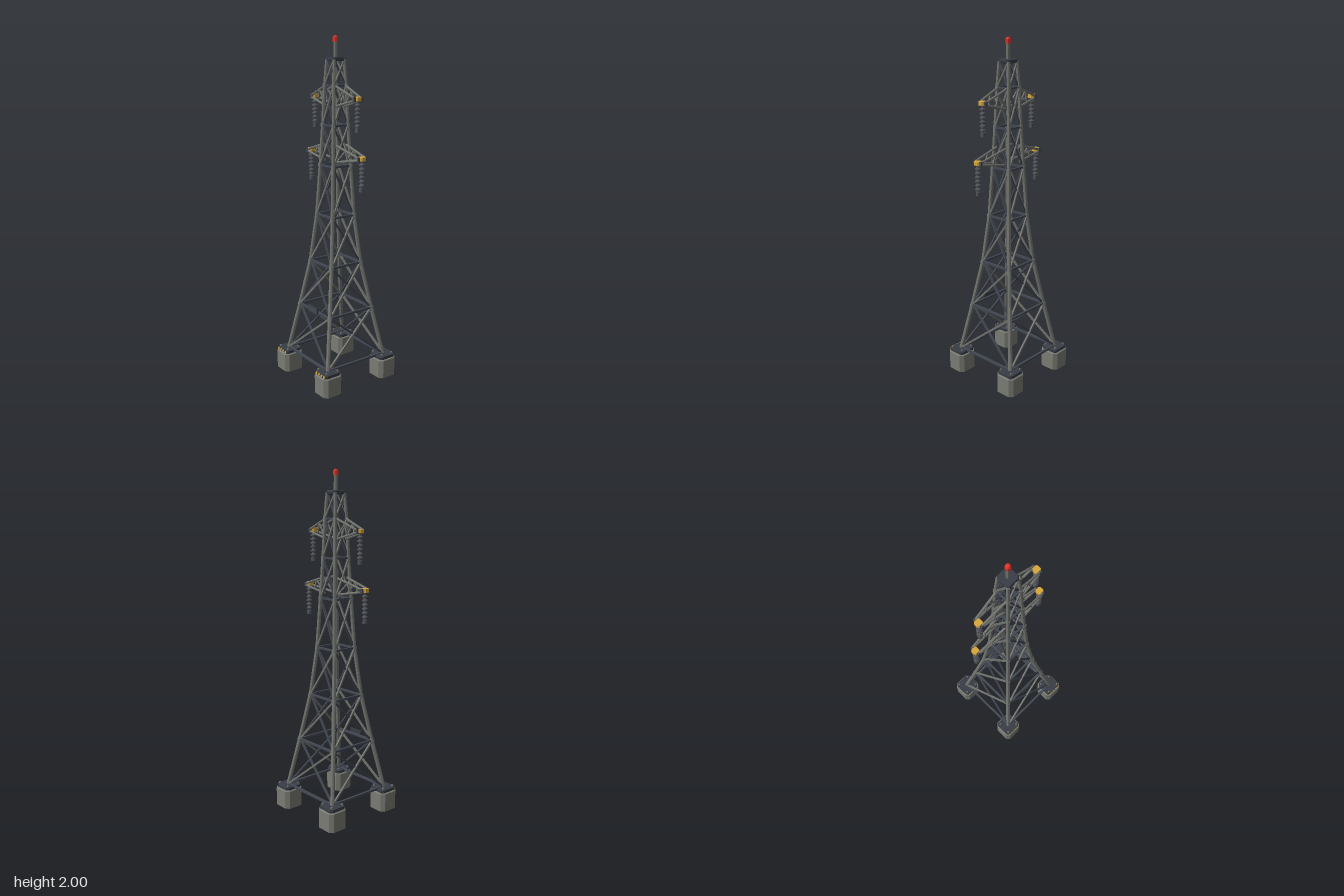
import * as THREE from 'three';

const mat = (name, color) => {
  const m = new THREE.MeshStandardMaterial({ color, flatShading: true });
  m.name = name;
  return m;
};

export function createModel() {
  const steel = mat('galvanised steel', 0x72746f);
  const brace = mat('brace steel', 0x434954);
  const dark = mat('dark plate', 0x383d46);
  const concrete = mat('concrete', 0x7b7c74);
  const ceramic = mat('insulator grey', 0x505358);
  const yellow = mat('safety yellow', 0xdaa83a);
  const red = mat('beacon red', 0xe8332a);

  const root = new THREE.Group();
  root.name = 'transmissionTower';
  const V = (x, y, z) => new THREE.Vector3(x, y, z);

  const group = (name, parent = root) => {
    const g = new THREE.Group();
    g.name = name;
    parent.add(g);
    return g;
  };
  const add = (parent, name, geo, material, x = 0, y = 0, z = 0) => {
    const m = new THREE.Mesh(geo, material);
    m.name = name;
    m.position.set(x, y, z);
    parent.add(m);
    return m;
  };
  // Any geometry lying along z, placed between two points
  const span = (parent, name, geo, a, b, material) => {
    const mid = a.clone().add(b).multiplyScalar(0.5);
    add(parent, name, geo, material, mid.x, mid.y, mid.z).lookAt(b);
  };
  const beam = (parent, name, a, b, w, material) =>
    span(parent, name, new THREE.BoxGeometry(w, w, a.distanceTo(b)), a, b, material);
  const tube = (parent, name, a, b, r, material) =>
    span(parent, name, new THREE.CylinderGeometry(r, r, a.distanceTo(b), 8).rotateX(Math.PI / 2), a, b, material);
  const shape = pts => new THREE.Shape(pts.map(p => new THREE.Vector2(...p)));
  // Square slab with clipped corners, standing on its base
  const slab = (half, clip, height, bevel) => {
    const h = half - bevel, k = h - clip;
    const outline = shape([[-k, -h], [k, -h], [h, -k], [h, k], [k, h], [-k, h], [-h, k], [-h, -k]]);
    const geo = new THREE.ExtrudeGeometry(outline, {
      depth: height - 2 * bevel, bevelEnabled: true, bevelSize: bevel, bevelThickness: bevel, bevelSegments: 1,
    });
    return geo.rotateX(-Math.PI / 2).translate(0, bevel, 0);
  };

  // Half width of the tower at each joint level
  const levels = [[0.135, 0.205], [0.425, 0.153], [0.705, 0.106], [0.99, 0.077],
    [1.28, 0.062], [1.51, 0.051], [1.73, 0.043], [1.87, 0.034]];

  // Footings with base plates, bolts and hazard stripes
  for (const sx of [-1, 1]) for (const sz of [-1, 1]) {
    const foot = group('footing');
    foot.position.set(sx * 0.203, 0, sz * 0.203);
    add(foot, 'concreteBlock', slab(0.063, 0.018, 0.117, 0.004), concrete);
    add(foot, 'basePlate', slab(0.055, 0.012, 0.02, 0.002), dark, 0, 0.117, 0);
    for (const bx of [-1, 1]) for (const bz of [-1, 1])
      add(foot, 'anchorBolt', new THREE.CylinderGeometry(0.006, 0.006, 0.012, 6), steel, bx * 0.039, 0.141, bz * 0.039);
    if (sz > 0) for (let i = 0; i < 4; i++) {
      const stripe = shape([[0, 0], [0.014, 0], [0.021, 0.016], [0.007, 0.016]]);
      add(foot, 'hazardStripe', new THREE.ExtrudeGeometry(stripe, { depth: 0.002, bevelEnabled: false }), yellow,
        -0.047 + i * 0.0245, 0.119, 0.054);
    }
  }

  // Corner legs with a collar at each joint
  const legs = group('legs');
  for (const sx of [-1, 1]) for (const sz of [-1, 1]) {
    levels.slice(0, -1).forEach(([y, h], i) => {
      const [y2, h2] = levels[i + 1];
      const r = 0.0125 - i * 0.0005;
      const a = V(sx * h, y, sz * h), b = V(sx * h2, y2, sz * h2);
      tube(legs, 'leg', a, b, r, steel);
      if (i > 0) {
        const d = b.clone().sub(a).normalize().multiplyScalar(0.009);
        tube(legs, 'jointCollar', a.clone().sub(d), a.clone().add(d), r + 0.0025, steel);
      }
    });
  }

  // Lattice on the four faces: a ring bar at each level and a cross in each panel
  for (let f = 0; f < 4; f++) {
    const face = group('latticeFace');
    levels.forEach(([y, h], i) => {
      const w = 0.013 - i * 0.0005;
      beam(face, 'ringBar', V(-h, y, h), V(h, y, h), w, brace);
      if (i === levels.length - 1) return;
      const [y2, h2] = levels[i + 1];
      beam(face, 'braceRising', V(-h, y, h + 0.002), V(h2, y2, h2 + 0.002), w - 0.002, steel);
      beam(face, 'braceFalling', V(h, y, h - 0.003), V(-h2, y2, h2 - 0.003), w - 0.002, brace);
    });
    // Turned once the bars are placed
    face.rotation.y = f * Math.PI / 2;
  }

  // Blank notice plate on the front
  const sign = group('noticePlate');
  add(sign, 'plate', new THREE.BoxGeometry(0.09, 0.042, 0.008), dark, 0, 0.434, 0.163);
  add(sign, 'plateFace', new THREE.BoxGeometry(0.074, 0.026, 0.004), brace, 0, 0.434, 0.167);

  // String of insulator discs hanging from a point
  const insulator = (parent, x, y, length) => {
    const pts = [[0, 0], [0.007, 0]];
    const n = 6, step = (length - 0.035) / n;
    for (let i = 0; i < n; i++) {
      const t = -0.012 - i * step;
      pts.push([0.007, t], [0.017, t - step * 0.35], [0.017, t - step * 0.6], [0.007, t - step * 0.7]);
    }
    pts.push([0.007, -length + 0.022], [0.014, -length + 0.022], [0.014, -length], [0, -length]);
    const geo = new THREE.LatheGeometry(pts.reverse().map(p => new THREE.Vector2(...p)), 10);
    add(parent, 'insulatorString', geo, ceramic, x, y, 0);
  };

  // Cross arms: [tip x, tip y, root x, lower root y, upper root y, string length]
  const arms = [[0.201, 1.662, 0.045, 1.617, 1.73, 0.17], [0.243, 1.343, 0.057, 1.307, 1.4, 0.172]];
  for (const [tx, ty, rx, yLow, yTop, len] of arms) for (const s of [-1, 1]) {
    const arm = group(s > 0 ? 'leftCrossArm' : 'rightCrossArm');
    const webs = [];
    for (const sz of [-1, 1]) {
      const low = V(s * rx, yLow, sz * 0.035), top = V(s * rx, yTop, sz * 0.035);
      const tipLow = V(s * tx, ty - 0.006, sz * 0.023), tipTop = V(s * tx, ty + 0.006, sz * 0.023);
      tube(arm, 'lowerChord', low, tipLow, 0.007, steel);
      tube(arm, 'upperChord', top, tipTop, 0.007, steel);
      const topMid = top.clone().lerp(tipTop, 0.42), lowMid = low.clone().lerp(tipLow, 0.52);
      beam(arm, 'webDiagonal', low, topMid, 0.008, steel);
      beam(arm, 'webPost', topMid, lowMid, 0.008, steel);
      webs.push(topMid, lowMid);
    }
    add(arm, 'tipBar', new THREE.BoxGeometry(0.014, 0.026, 0.06), brace, s * tx, ty, 0);
    add(arm, 'tipCap', slab(0.0185, 0.006, 0.024, 0.002), yellow, s * tx, ty - 0.01, 0);
    insulator(arm, s * tx, ty - 0.009, len);
  }

  // Peak cap, mast and warning beacon
  const peak = group('peak');
  add(peak, 'capPlate', slab(0.041, 0.009, 0.022, 0.004), dark, 0, 1.862, 0);
  add(peak, 'mast', new THREE.CylinderGeometry(0.011, 0.012, 0.086, 8), steel, 0, 1.924, 0);
  const bulb = [[0, 0], [0.015, 0], [0.015, 0.024], [0.009, 0.033], [0, 0.035]];
  add(peak, 'beacon', new THREE.LatheGeometry(bulb.map(p => new THREE.Vector2(...p)), 8), red, 0, 1.965, 0);

  return root;
}
